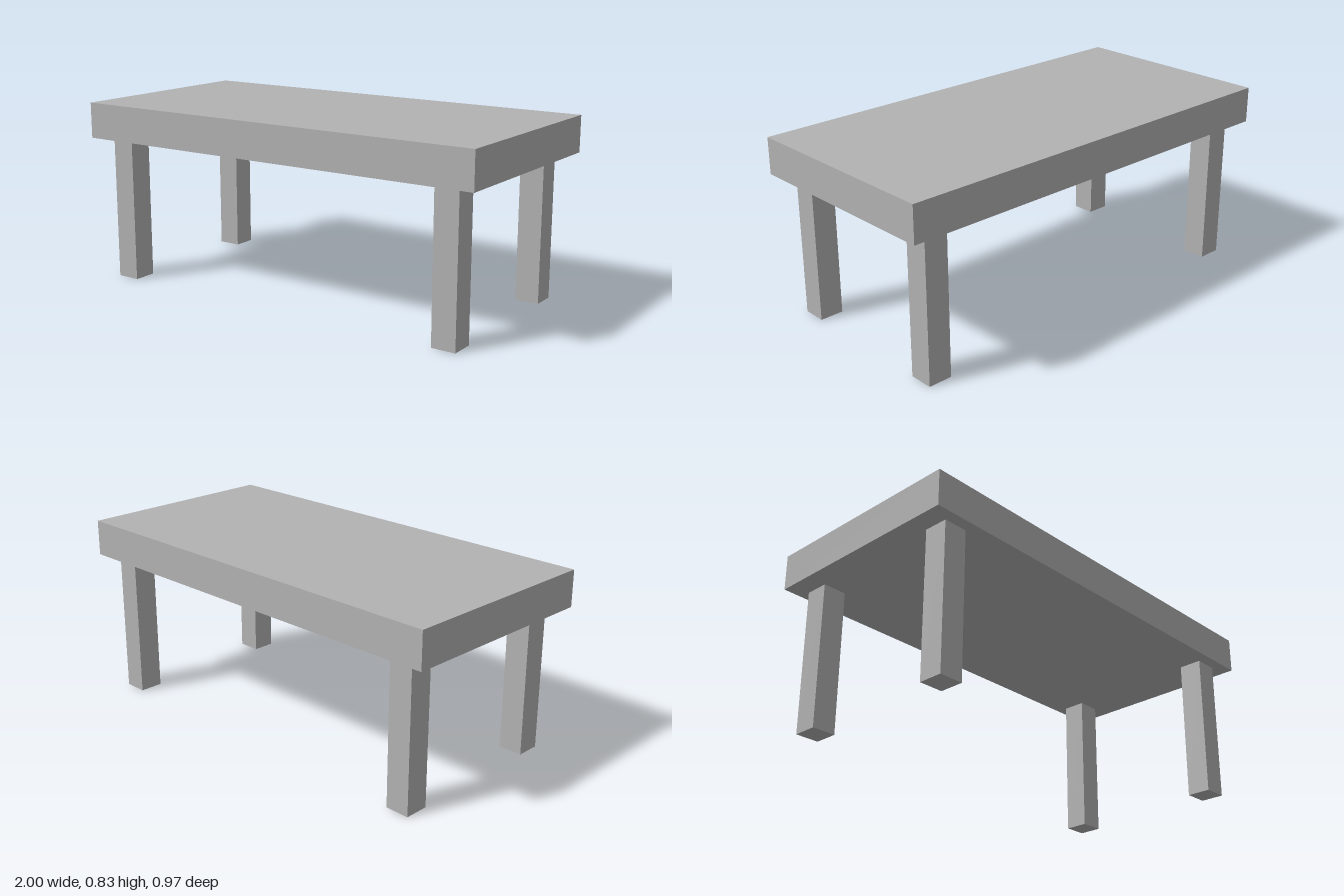
import * as THREE from 'three';

export function createModel() {
  const group = new THREE.Group();
  group.name = 'table';
  const grey = new THREE.MeshStandardMaterial({ color: 0xb2b2b2 });
  grey.name = 'grey';

  const legHeight = 0.665, legWidth = 0.11, topThickness = 0.165;

  const addBox = (name, size, position) => {
    const mesh = new THREE.Mesh(new THREE.BoxGeometry(...size), grey);
    mesh.name = name;
    mesh.position.set(...position);
    group.add(mesh);
  };

  // Thick slab top
  addBox('tableTop', [2, topThickness, 0.966], [0, legHeight + topThickness / 2, 0]);

  // Four square legs, inset from the corners
  for (const [side, x] of [['Left', 0.855], ['Right', -0.855]]) {
    for (const [end, z] of [['front', 0.374], ['back', -0.374]]) {
      addBox(`${end}${side}Leg`, [legWidth, legHeight, legWidth], [x, legHeight / 2, z]);
    }
  }
  return group;
}
